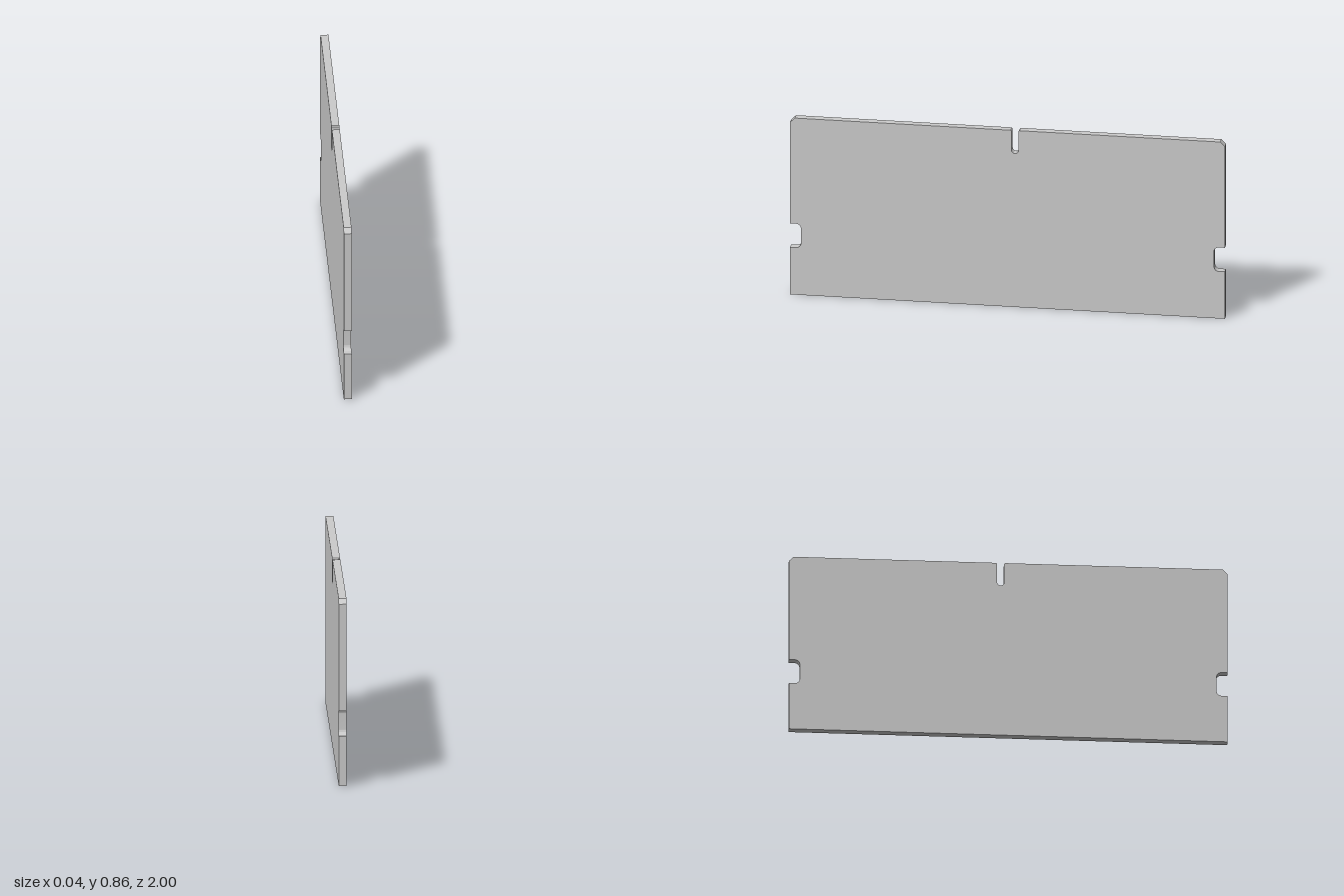
import * as THREE from 'three';
import { toCreasedNormals } from 'three/addons/utils/BufferGeometryUtils.js';

const THICK = 0.036, H = 0.863, HALF = 1, CHAMFER = 0.022;
const NOTCH = { bottom: 0.23, top: 0.347, depth: 0.05, r: 0.022 };
const SLOT = { z: -0.035, half: 0.016, bottom: 0.75, lip: 0.005 };

// Panel outline: horizontal axis becomes z, vertical axis is y
function panelOutline() {
  const s = new THREE.Shape();
  const inner = HALF - NOTCH.depth, { r } = NOTCH;
  s.moveTo(-HALF, 0);
  s.lineTo(HALF, 0);

  // front edge notch with rounded inner corners
  s.lineTo(HALF, NOTCH.bottom);
  s.lineTo(inner + r, NOTCH.bottom);
  s.absarc(inner + r, NOTCH.bottom + r, r, -Math.PI / 2, -Math.PI, true);
  s.absarc(inner + r, NOTCH.top - r, r, Math.PI, Math.PI / 2, true);
  s.lineTo(HALF, NOTCH.top);

  // chamfered top corner
  s.lineTo(HALF, H - CHAMFER);
  s.lineTo(HALF - CHAMFER, H);

  // round-bottomed slot in the top edge, with small chamfered lips
  const { z, half, bottom, lip } = SLOT;
  s.lineTo(z + half + lip, H);
  s.lineTo(z + half, H - lip);
  s.absarc(z, bottom + half, half, 0, -Math.PI, true);
  s.lineTo(z - half, H - lip);
  s.lineTo(z - half - lip, H);

  // opposite chamfered corner
  s.lineTo(-HALF + CHAMFER, H);
  s.lineTo(-HALF, H - CHAMFER);

  // back edge notch
  s.lineTo(-HALF, NOTCH.top);
  s.lineTo(-inner - r, NOTCH.top);
  s.absarc(-inner - r, NOTCH.top - r, r, Math.PI / 2, 0, true);
  s.absarc(-inner - r, NOTCH.bottom + r, r, 0, -Math.PI / 2, true);
  s.lineTo(-HALF, NOTCH.bottom);
  s.closePath();
  return s;
}

export function createModel() {
  const group = new THREE.Group();
  group.name = 'slottedPanel';

  let geometry = new THREE.ExtrudeGeometry(panelOutline(), {
    depth: THICK, bevelEnabled: false, curveSegments: 10,
  });
  geometry.translate(0, 0, -THICK / 2);
  geometry.rotateY(-Math.PI / 2);
  geometry = toCreasedNormals(geometry, Math.PI / 6);

  const panel = new THREE.Mesh(geometry, new THREE.MeshStandardMaterial({ color: 0xcccccc }));
  panel.name = 'panel';
  group.add(panel);
  return group;
}
